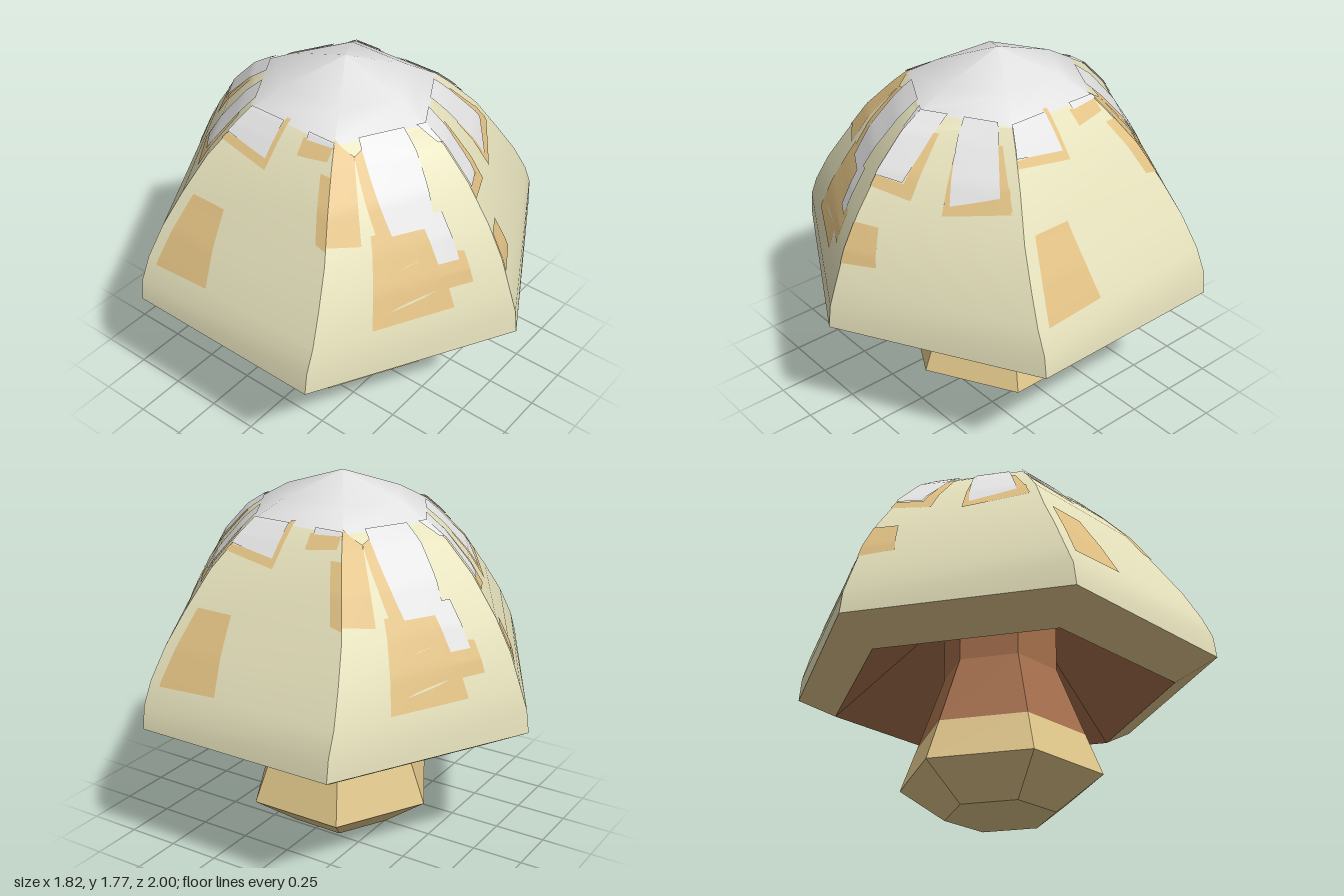
import * as THREE from 'three';
import { toCreasedNormals } from 'three/addons/utils/BufferGeometryUtils.js';

const mat = (name, color, side = THREE.FrontSide) => {
  const m = new THREE.MeshStandardMaterial({ color, side });
  m.name = name;
  return m;
};

// Cap rings: height, side face x, half width of side face, front corner z
const CAP = [
  [0.68, 0.91, 0.5, 1], [0.79, 0.895, 0.5, 0.985], [0.9, 0.845, 0.495, 0.945],
  [1.05, 0.765, 0.465, 0.89], [1.2, 0.67, 0.42, 0.81], [1.38, 0.56, 0.35, 0.685],
  [1.52, 0.44, 0.275, 0.55], [1.585, 0.375, 0.237, 0.45], [1.665, 0.25, 0.16, 0.31], [1.77, 0, 0, 0],
];
const hex = (y, r) => [y, 0.91 * r, 0.5 * r, r];

const corners = ([y, x, w, z]) =>
  [[0, y, z], [x, y, w], [x, y, -w], [0, y, -z], [-x, y, -w], [-x, y, w]];

// Six-sided skin through a list of rings; rows from 'split' on use the second material
function loft(rings, crease, split = Infinity) {
  const pos = [];
  let splitAt = 0;
  for (let j = 0; j < rings.length - 1; j++) {
    if (j === split) splitAt = pos.length / 3;
    const a = corners(rings[j]), b = corners(rings[j + 1]);
    for (let i = 0; i < 6; i++) {
      const n = (i + 1) % 6;
      if (rings[j][3] > 0) pos.push(...a[i], ...a[n], ...b[n]);
      if (rings[j + 1][3] > 0) pos.push(...a[i], ...b[n], ...b[i]);
      else if (rings[j][3] === 0) continue;
    }
  }
  let g = new THREE.BufferGeometry();
  g.setAttribute('position', new THREE.Float32BufferAttribute(pos, 3));
  g = toCreasedNormals(g, crease);
  if (splitAt) {
    g.addGroup(0, splitAt, 0);
    g.addGroup(splitAt, pos.length / 3 - splitAt, 1);
  }
  return g;
}

// Cap section at any height
function section(y) {
  let j = 0;
  while (j < CAP.length - 2 && y > CAP[j + 1][0]) j++;
  const a = CAP[j], b = CAP[j + 1], t = (y - a[0]) / (b[0] - a[0]);
  return a.map((v, k) => v + (b[k] - v) * t);
}

// Point on a cap face; u runs from the front corner (0) to the side corner (1),
// or along z from -1 to 1 on the side face
function onCap(face, u, y, lift) {
  const [, x, w, z] = section(y);
  const p = face === 'side' ? [x, y, u * w]
    : [(face === 'frontLeft' ? 1 : -1) * x * u, y, z + (w - z) * u];
  const s = 1 + lift;
  return [p[0] * s, 0.6 + (p[1] - 0.6) * s, p[2] * s];
}

// Thin four-cornered paint patch: top start, top end, bottom end, bottom start as [u, y]
function patch(face, [a, b, c, d], lift) {
  const g = new THREE.PlaneGeometry(1, 1, 6, 14);
  const p = g.attributes.position;
  for (let i = 0; i < p.count; i++) {
    const s = p.getX(i) + 0.5, t = 0.5 - p.getY(i);
    const mix = k => (a[k] * (1 - s) + b[k] * s) * (1 - t) + (d[k] * (1 - s) + c[k] * s) * t;
    p.setXYZ(i, ...onCap(face, mix(0), mix(1), lift));
  }
  g.computeVertexNormals();
  return g;
}

const OCHRE = {
  frontRight: [
    [[0.72, 1.27], [0.36, 1.27], [0.295, 0.9], [0.71, 0.9]],
    [[0.38, 1.16], [0.19, 1.13], [0.18, 0.99], [0.36, 0.99]],
    [[1, 1.6], [0.8, 1.54], [0.78, 1.24], [1, 1.265]],
    [[0.8, 1.54], [0.7, 1.56], [0.56, 1.25], [0.68, 1.25]],
  ],
  frontLeft: [
    [[0, 1.17], [0.15, 1.165], [0.19, 1.0], [0, 0.99]],
    [[0, 1.36], [0.28, 1.335], [0.28, 1.285], [0, 1.315]],
    [[0.25, 1.53], [0.32, 1.53], [0.29, 1.285], [0.2, 1.3]],
    [[0.52, 1.36], [0.93, 1.39], [0.93, 1.3], [0.5, 1.25]],
    [[0.8, 1.53], [0.89, 1.52], [0.94, 1.31], [0.84, 1.31]],
    [[0.5, 1.47], [0.58, 1.47], [0.56, 1.26], [0.5, 1.26]],
  ],
  side: [
    [[1, 1.48], [0.1, 1.47], [0.1, 1.42], [1, 1.455]],
    [[0.2, 1.6], [0.1, 1.6], [0.1, 1.43], [0.2, 1.43]],
    [[0.85, 1.22], [0.4, 1.22], [0.26, 0.9], [0.88, 0.885]],
    [[-0.33, 1.57], [-1, 1.59], [-0.9, 1.53], [-0.32, 1.51]],
    [[-0.81, 1.49], [-1, 1.49], [-1, 1.25], [-0.86, 1.26]],
  ],
};
const WHITE = {
  frontRight: [
    [[0.74, 1.59], [0.24, 1.59], [0.32, 1.25], [0.59, 1.25]],
    [[0.4, 1.3], [0.25, 1.3], [0.23, 1.1], [0.35, 1.1]],
    [[0.1, 1.59], [0, 1.59], [0, 1.53], [0.04, 1.53]],
  ],
  frontLeft: [
    [[0, 1.59], [0.3, 1.59], [0.2, 1.345], [0, 1.36]],
    [[0.48, 1.59], [0.85, 1.59], [0.86, 1.35], [0.54, 1.29]],
  ],
  side: [
    [[1, 1.59], [0.2, 1.59], [0.17, 1.455], [1, 1.485]],
    [[-0.4, 1.59], [-1, 1.59], [-1, 1.575], [-0.4, 1.565]],
  ],
};

export function createModel() {
  const model = new THREE.Group();
  model.name = 'mushroom';
  const cream = mat('cream', 0xe3dfba), white = mat('white', 0xe2e2e2);
  const tan = mat('tan', 0xe0c68b), brown = mat('brown', 0xa56f4c);
  const ochrePaint = mat('ochrePaint', 0xdfbf82, THREE.DoubleSide);
  const whitePaint = mat('whitePaint', 0xe2e2e2, THREE.DoubleSide);
  const add = (name, geometry, material, parent = model) => {
    const m = new THREE.Mesh(geometry, material);
    m.name = name;
    parent.add(m);
  };

  // Stem
  add('stemFoot', loft([hex(0, 0), hex(0, 0.255), hex(0.16, 0.47), hex(0.36, 0.395)], 0.1), tan);
  add('stemNeck', loft([hex(0.36, 0.395), hex(0.7, 0.27), hex(1.05, 0.27)], 0.1), brown);

  // Cap with bevelled rim and hollow underside
  add('cap', loft(CAP, 0.61, 7), [cream, white]);
  add('capRim', loft([hex(0.575, 0.805), CAP[0]], 0.1), tan);
  add('capUnderside', loft([hex(1.04, 0.26), hex(0.575, 0.805)], 0.1), brown);

  // Painted patches, repeated by a half turn
  for (const turn of [0, Math.PI]) {
    const half = new THREE.Group();
    half.name = turn ? 'backPatches' : 'frontPatches';
    half.rotation.y = turn;
    for (const [name, set, material, lift] of [['ochrePatch', OCHRE, ochrePaint, 0.004], ['whitePatch', WHITE, whitePaint, 0.007]])
      for (const face in set)
        for (const q of set[face]) add(name, patch(face, q, lift), material, half);
    model.add(half);
  }
  return model;
}
